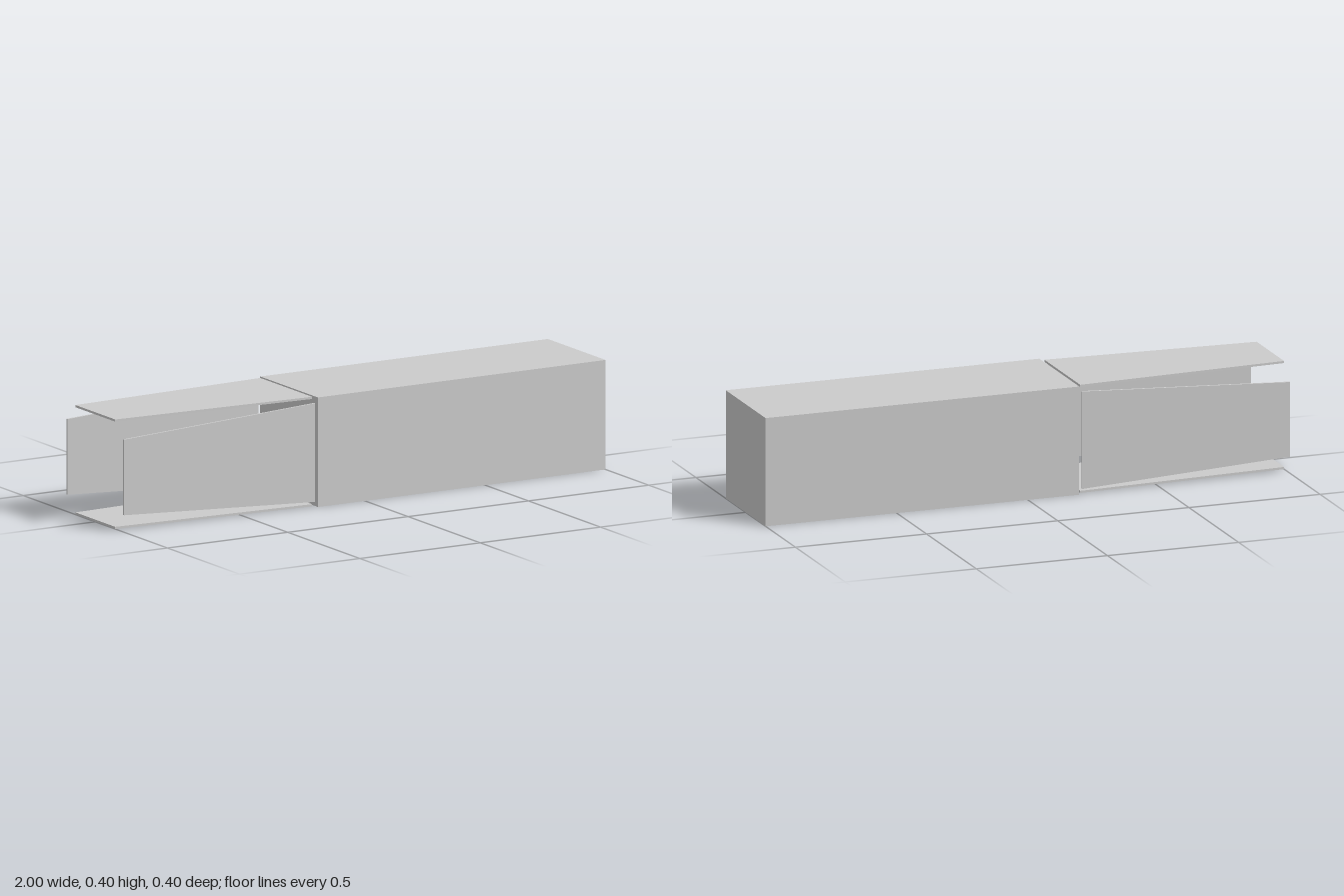
import * as THREE from 'three';

const SIZE = 0.4;        // square section of the carton
const BODY_START = -0.195;
const FLAP_START = -0.207;
const THICK = 0.008;

export function createModel() {
  const model = new THREE.Group();
  model.name = 'openCarton';
  const material = new THREE.MeshStandardMaterial({ color: 0xcccccc, flatShading: true });

  // Closed long body
  const length = 1 - BODY_START;
  const body = new THREE.Mesh(new THREE.BoxGeometry(length, SIZE, SIZE), material);
  body.name = 'body';
  body.position.set(BODY_START + length / 2, SIZE / 2, 0);
  model.add(body);

  // Tapered flap outline, wide at the body and narrow at the free end
  const wide = 0.18, narrow = 0.138;
  const outline = new THREE.Shape([
    new THREE.Vector2(-1, -narrow),
    new THREE.Vector2(FLAP_START, -wide),
    new THREE.Vector2(FLAP_START, wide),
    new THREE.Vector2(-1, narrow),
  ]);
  const flapGeometry = new THREE.ExtrudeGeometry(outline, { depth: THICK, bevelEnabled: false });
  flapGeometry.translate(0, 0, SIZE / 2 - THICK);

  // Four flaps turned about the long axis
  ['frontFlap', 'bottomFlap', 'backFlap', 'topFlap'].forEach((name, i) => {
    const flap = new THREE.Mesh(flapGeometry, material);
    flap.name = name;
    flap.position.y = SIZE / 2;
    flap.rotation.x = i * Math.PI / 2;
    model.add(flap);
  });

  return model;
}
